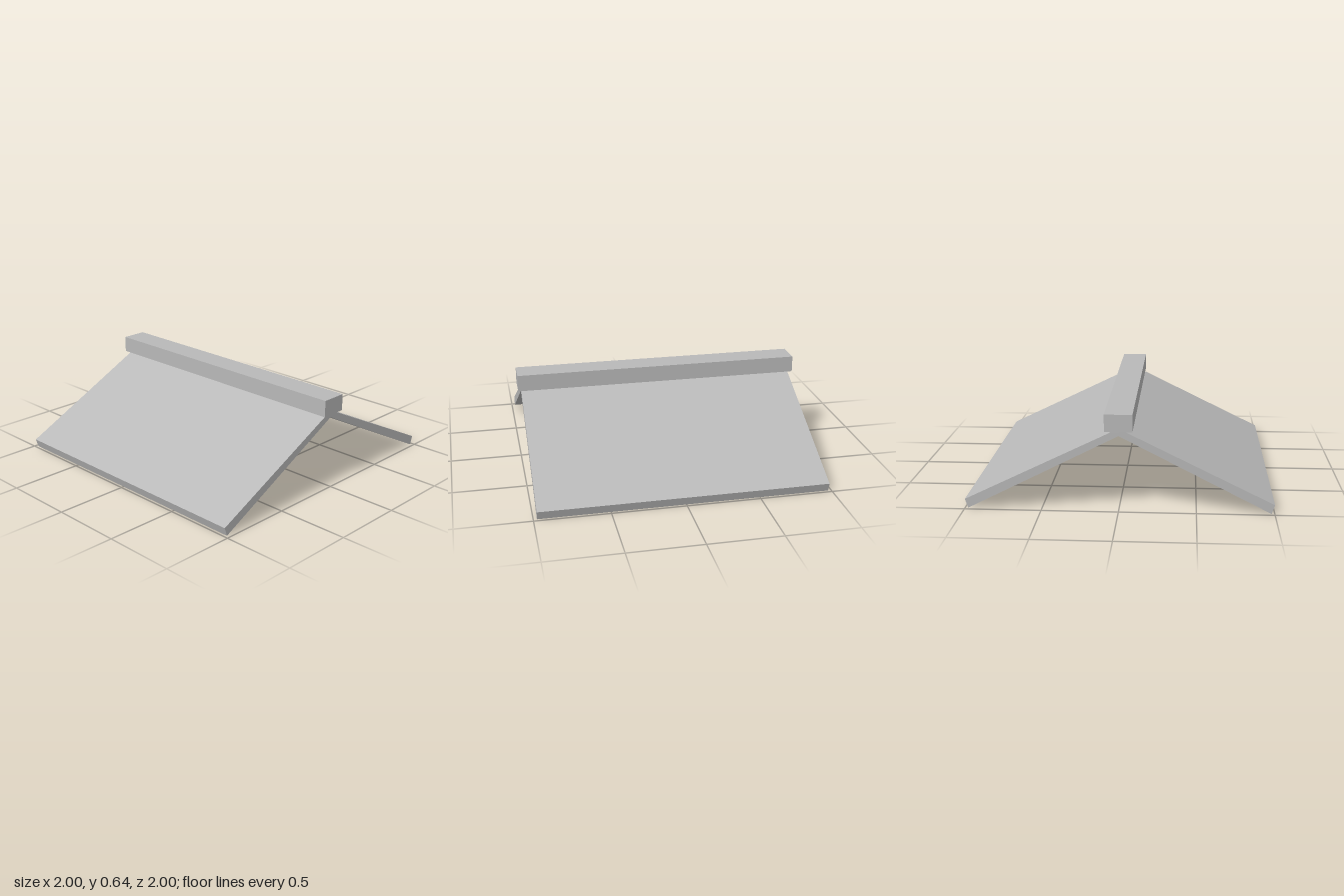
import * as THREE from 'three';

export function createModel() {
  const model = new THREE.Group();
  model.name = 'gableRoof';

  const grey = new THREE.MeshStandardMaterial({ color: 0xb8b8b8 });
  grey.name = 'roof grey';

  // Two sloping panels: one cross-section per side, run along the ridge
  const length = 1.954;
  for (const [name, side] of [['leftPanel', 1], ['rightPanel', -1]]) {
    const section = new THREE.Shape(
      [[0, 0.5], [0.98, 0], [1, 0.06], [0, 0.548]].map(([x, y]) => new THREE.Vector2(side * x, y))
    );
    const geometry = new THREE.ExtrudeGeometry(section, { depth: length, bevelEnabled: false });
    geometry.translate(0, 0, -length / 2);
    const panel = new THREE.Mesh(geometry, grey);
    panel.name = name;
    model.add(panel);
  }

  // Ridge beam sitting on the peak, slightly longer than the panels
  const ridge = new THREE.Mesh(new THREE.BoxGeometry(0.18, 0.114, 2), grey);
  ridge.name = 'ridgeBeam';
  ridge.position.y = 0.588;
  model.add(ridge);

  return model;
}
